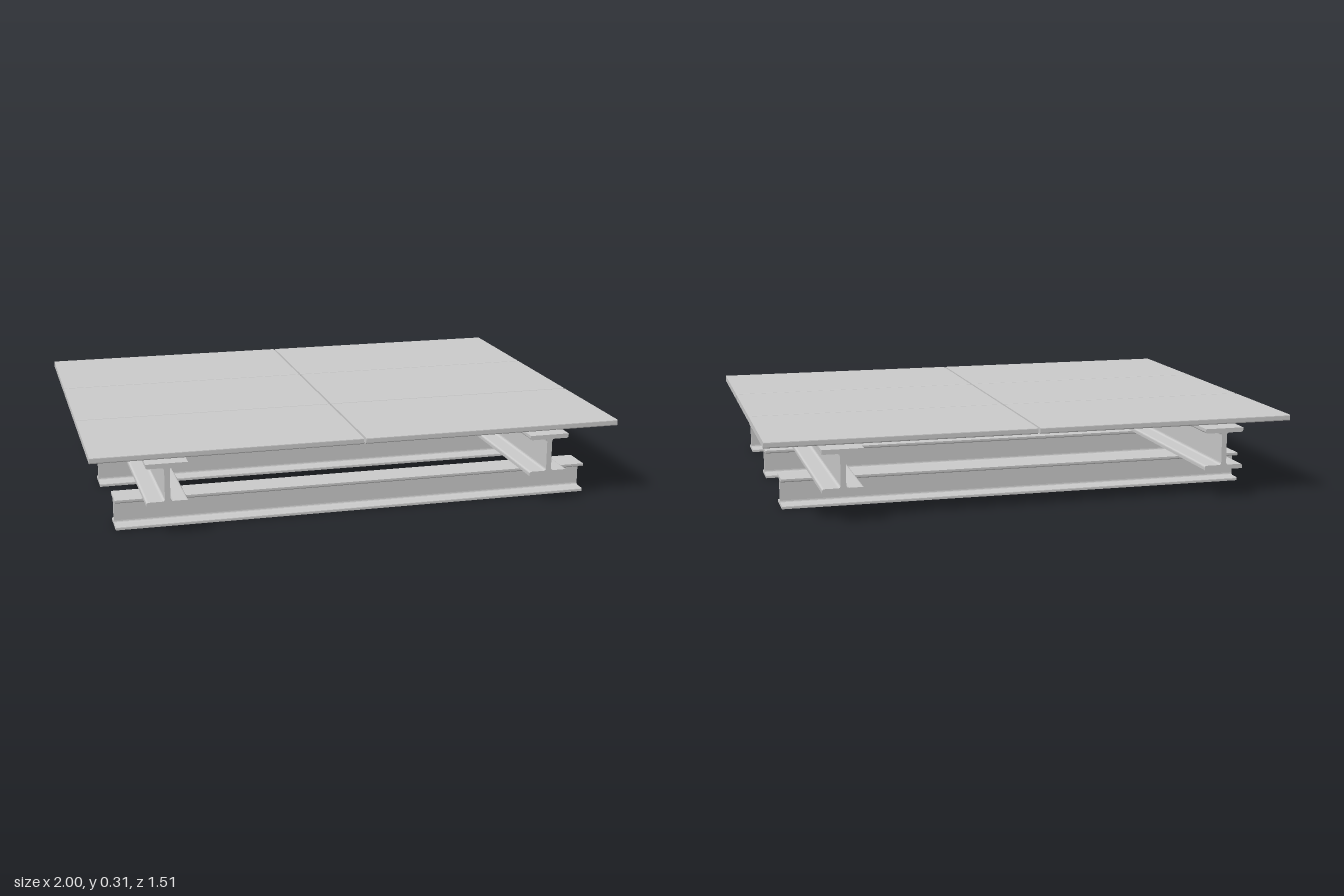
import * as THREE from 'three';

const material = new THREE.MeshStandardMaterial({ color: 0xcccccc });

// I-section, base on y = 0, with filleted web roots and rounded flange tips
function iSection(width, height, flange, web, fillet) {
  const w = width / 2, t = web / 2, r = fillet, e = flange * 0.45;
  const lo = flange, hi = height - flange;
  const s = new THREE.Shape();
  s.moveTo(-w, 0);
  s.lineTo(w, 0);
  s.lineTo(w, lo - e);
  s.quadraticCurveTo(w, lo, w - e, lo);
  s.lineTo(t + r, lo);
  s.quadraticCurveTo(t, lo, t, lo + r);
  s.lineTo(t, hi - r);
  s.quadraticCurveTo(t, hi, t + r, hi);
  s.lineTo(w - e, hi);
  s.quadraticCurveTo(w, hi, w, hi + e);
  s.lineTo(w, height);
  s.lineTo(-w, height);
  s.lineTo(-w, hi + e);
  s.quadraticCurveTo(-w, hi, -w + e, hi);
  s.lineTo(-t - r, hi);
  s.quadraticCurveTo(-t, hi, -t, hi - r);
  s.lineTo(-t, lo + r);
  s.quadraticCurveTo(-t, lo, -t - r, lo);
  s.lineTo(-w + e, lo);
  s.quadraticCurveTo(-w, lo, -w, lo - e);
  s.closePath();
  return s;
}

// Rectangle with small rounded corners, base on y = 0
function roundedSection(width, height, r) {
  const w = width / 2, s = new THREE.Shape();
  s.moveTo(-w + r, 0);
  s.lineTo(w - r, 0);
  s.quadraticCurveTo(w, 0, w, r);
  s.lineTo(w, height - r);
  s.quadraticCurveTo(w, height, w - r, height);
  s.lineTo(-w + r, height);
  s.quadraticCurveTo(-w, height, -w, height - r);
  s.lineTo(-w, r);
  s.quadraticCurveTo(-w, 0, -w + r, 0);
  return s;
}

// Extrude a section, centred along its length, along z or x
function bar(shape, length, alongX = false) {
  const g = new THREE.ExtrudeGeometry(shape, { depth: length, bevelEnabled: false, curveSegments: 4 });
  g.translate(0, 0, -length / 2);
  if (alongX) g.rotateY(Math.PI / 2);
  return g;
}

export function createModel() {
  const model = new THREE.Group();
  model.name = 'platform';
  const add = (name, geometry, x, y, z) => {
    const mesh = new THREE.Mesh(geometry, material);
    mesh.name = name;
    mesh.position.set(x, y, z);
    model.add(mesh);
  };

  // Lower beams running side to side
  const crossBeam = bar(iSection(0.116, 0.113, 0.012, 0.017, 0.01), 1.818, true);
  [0.596, 0.081, -0.437].forEach((z, i) => add(`crossBeam${i + 1}`, crossBeam, 0.003, 0, z));

  // Main beams running front to back
  const mainBeam = bar(iSection(0.152, 0.158, 0.017, 0.02, 0.01), 1.51);
  add('rightMainBeam', mainBeam, -0.729, 0.113, 0);
  add('leftMainBeam', mainBeam, 0.723, 0.113, 0);

  // Flat bearing strips under the deck
  const strip = new THREE.BoxGeometry(1.748, 0.015, 0.085);
  [0.502, 0.174, -0.17, -0.499].forEach((z, i) => add(`bearingStrip${i + 1}`, strip, -0.005, 0.2785, z));

  // Deck of six plates with narrow gaps
  const plate = bar(roundedSection(0.496, 0.023, 0.005), 0.996, true);
  for (const x of [-0.502, 0.502]) {
    for (const z of [-0.502, 0, 0.502]) add('deckPlate', plate, x, 0.286, z);
  }
  return model;
}
